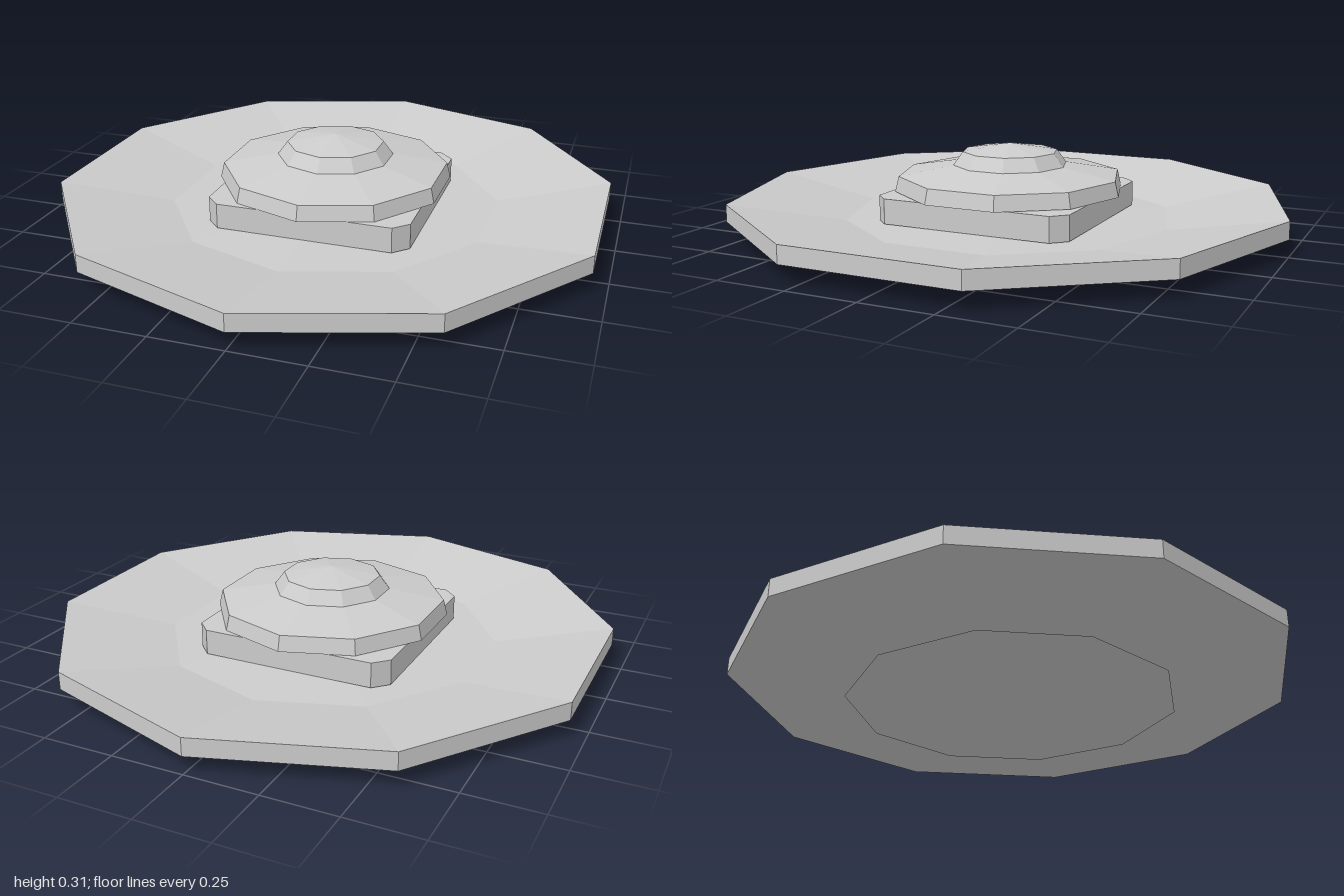
import * as THREE from 'three';

const SIDES = 10;

export function createModel() {
  const model = new THREE.Group();
  const material = new THREE.MeshStandardMaterial({
    color: 0xcccccc, flatShading: true, side: THREE.DoubleSide,
  });

  const add = (name, geometry) => {
    const mesh = new THREE.Mesh(geometry, material);
    mesh.name = name;
    model.add(mesh);
    return mesh;
  };

  // Ten-sided part turned from [radius, height] pairs, listed bottom to top
  const turned = (name, profile) =>
    add(name, new THREE.LatheGeometry(profile.map(([r, y]) => new THREE.Vector2(r, y)), SIDES));

  // Dished plate with an upright rim and a hollow foot
  turned('plate', [[0.59, 0], [1, 0.06], [1, 0.122], [0.59, 0.05], [0, 0.06]]);

  // Square base block with clipped corners
  const half = 0.36, inner = 0.31, bottom = 0.055, top = 0.144;
  const outline = [];
  for (const [sx, sz] of [[1, 1], [-1, 1], [-1, -1], [1, -1]]) {
    const a = new THREE.Vector2(sx * half, sz * inner);
    const b = new THREE.Vector2(sx * inner, sz * half);
    outline.push(...(sx * sz > 0 ? [a, b] : [b, a]));
  }
  const block = new THREE.ExtrudeGeometry(new THREE.Shape(outline), {
    depth: top - bottom, bevelEnabled: false,
  });
  block.rotateX(-Math.PI / 2);
  add('baseBlock', block).position.y = bottom;

  // Flared cover with a shallow sloping roof
  turned('cover', [[0, 0.146], [0.415, 0.146], [0.402, 0.2], [0.205, 0.235], [0, 0.235]]);

  // Faceted cap
  turned('cap', [[0.208, 0.233], [0.172, 0.282], [0, 0.31]]);

  return model;
}
